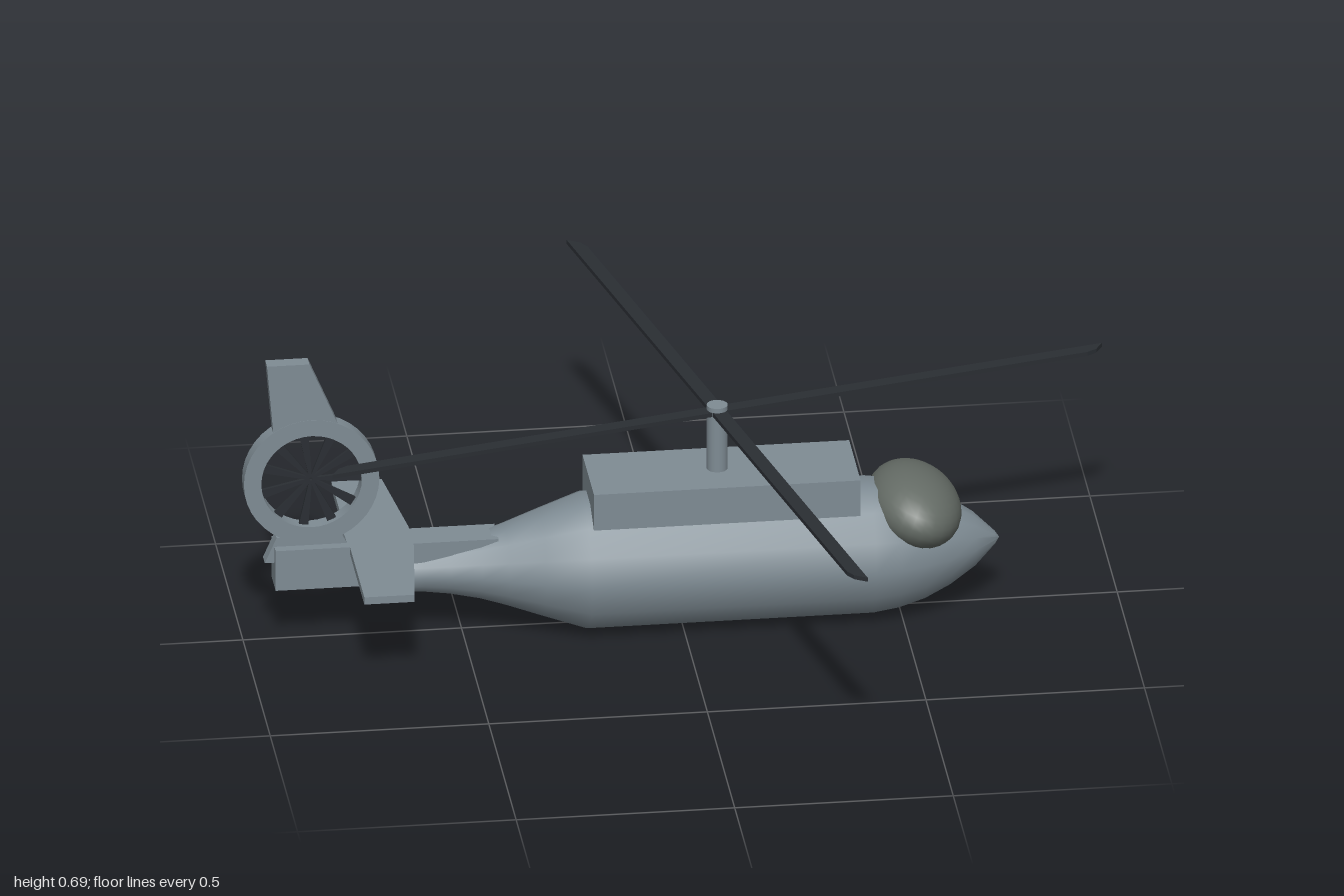
import * as THREE from 'three';
import { toCreasedNormals } from 'three/addons/utils/BufferGeometryUtils.js';

const paint = new THREE.MeshStandardMaterial({ color: 0x7f8c94 });
const dark = new THREE.MeshStandardMaterial({ color: 0x2a2e33 });
const glass = new THREE.MeshStandardMaterial({ color: 0x646b65 });

function add(parent, name, geometry, material, x = 0, y = 0, z = 0) {
  const mesh = new THREE.Mesh(geometry, material);
  mesh.name = name;
  mesh.position.set(x, y, z);
  parent.add(mesh);
  return mesh;
}

// Flat plate cut from an outline, centred on its thickness
function plate(shape, thickness) {
  const geo = new THREE.ExtrudeGeometry(shape, { depth: thickness, bevelEnabled: false, curveSegments: 20 });
  return geo.translate(0, 0, -thickness / 2);
}

const outline = (points) => new THREE.Shape(points.map(([x, y]) => new THREE.Vector2(x, y)));

export function createModel() {
  const model = new THREE.Group();
  model.name = 'helicopter';

  // Fuselage: [x, radius] profile turned around the long axis
  const profile = [
    [-0.65, 0], [-0.65, 0.051], [-0.59, 0.054], [-0.53, 0.062], [-0.46, 0.077], [-0.4, 0.096],
    [-0.32, 0.125], [-0.22, 0.16], [0.43, 0.16], [0.49, 0.151], [0.55, 0.133],
    [0.61, 0.104], [0.67, 0.064], [0.72, 0.015], [0.73, 0],
  ].map(([x, r]) => new THREE.Vector2(r, x));
  const hull = new THREE.LatheGeometry(profile, 14).rotateZ(-Math.PI / 2);
  add(model, 'fuselage', toCreasedNormals(hull, 0.6), paint, 0, 0.157, 0);

  // Canopy bubble, tipped toward the nose
  const bubble = new THREE.SphereGeometry(1, 28, 18).scale(0.11, 0.085, 0.157).rotateZ(-0.35);
  add(model, 'canopy', bubble, glass, 0.535, 0.252, 0);

  // Engine housing and tail boom
  add(model, 'engineHousing', new THREE.BoxGeometry(0.61, 0.09, 0.21), paint, 0.095, 0.325, 0);
  add(model, 'tailBoom', new THREE.BoxGeometry(0.51, 0.1, 0.08), paint, -0.675, 0.19, 0);

  // Horizontal stabilizer with swept leading edges
  const wing = outline([
    [-0.76, -0.302], [-0.645, -0.302], [-0.615, -0.05], [-0.615, 0.05], [-0.645, 0.302], [-0.76, 0.302],
  ]);
  add(model, 'stabilizer', plate(wing, 0.018).rotateX(-Math.PI / 2), paint, 0, 0.231, 0);

  // Tail fan: shroud ring, fin above and foot below
  const tail = new THREE.Group();
  tail.name = 'tailFan';
  tail.position.set(-0.845, 0.4, 0);
  model.add(tail);
  const ring = new THREE.Shape().absarc(0, 0, 0.155, 0, Math.PI * 2);
  ring.holes.push(new THREE.Path().absarc(0, 0, 0.115, 0, Math.PI * 2, true));
  add(tail, 'fanShroud', toCreasedNormals(plate(ring, 0.036), 0.6), paint);
  const fin = outline([[-0.087, 0.12], [0.06, 0.125], [0.06, 0.142], [-0.005, 0.296], [-0.102, 0.296]]);
  add(tail, 'fin', plate(fin, 0.034), paint);
  const foot = outline([[-0.107, -0.2], [0.1, -0.2], [0.07, -0.138], [-0.08, -0.138]]);
  add(tail, 'finFoot', plate(foot, 0.034), paint);

  // Slender fan blades
  const fanBlade = plate(outline([[0.004, -0.003], [0.116, -0.011], [0.116, 0.011], [0.004, 0.003]]), 0.008);
  const fanCount = 11;
  for (let i = 0; i < fanCount; i++) {
    add(tail, 'fanBlade', fanBlade, dark).rotation.z = (i / fanCount) * Math.PI * 2;
  }

  // Rotor mast and four blades with slanted tips
  add(model, 'rotorMast', new THREE.CylinderGeometry(0.024, 0.024, 0.165, 20), paint, 0.085, 0.4475, 0);
  const blade = plate(
    outline([[0, -0.0165], [0.89, -0.0165], [0.915, -0.008], [0.938, 0.0165], [0.9, 0.0165], [0, 0.0165]].filter((_, i) => i !== 4)),
    0.01,
  ).rotateX(-Math.PI / 2);
  const rotor = new THREE.Group();
  rotor.name = 'mainRotor';
  rotor.position.set(0.085, 0.514, 0);
  rotor.rotation.y = 0.231;
  model.add(rotor);
  for (let i = 0; i < 4; i++) {
    add(rotor, 'rotorBlade', blade, dark).rotation.y = (i * Math.PI) / 2;
  }

  return model;
}
